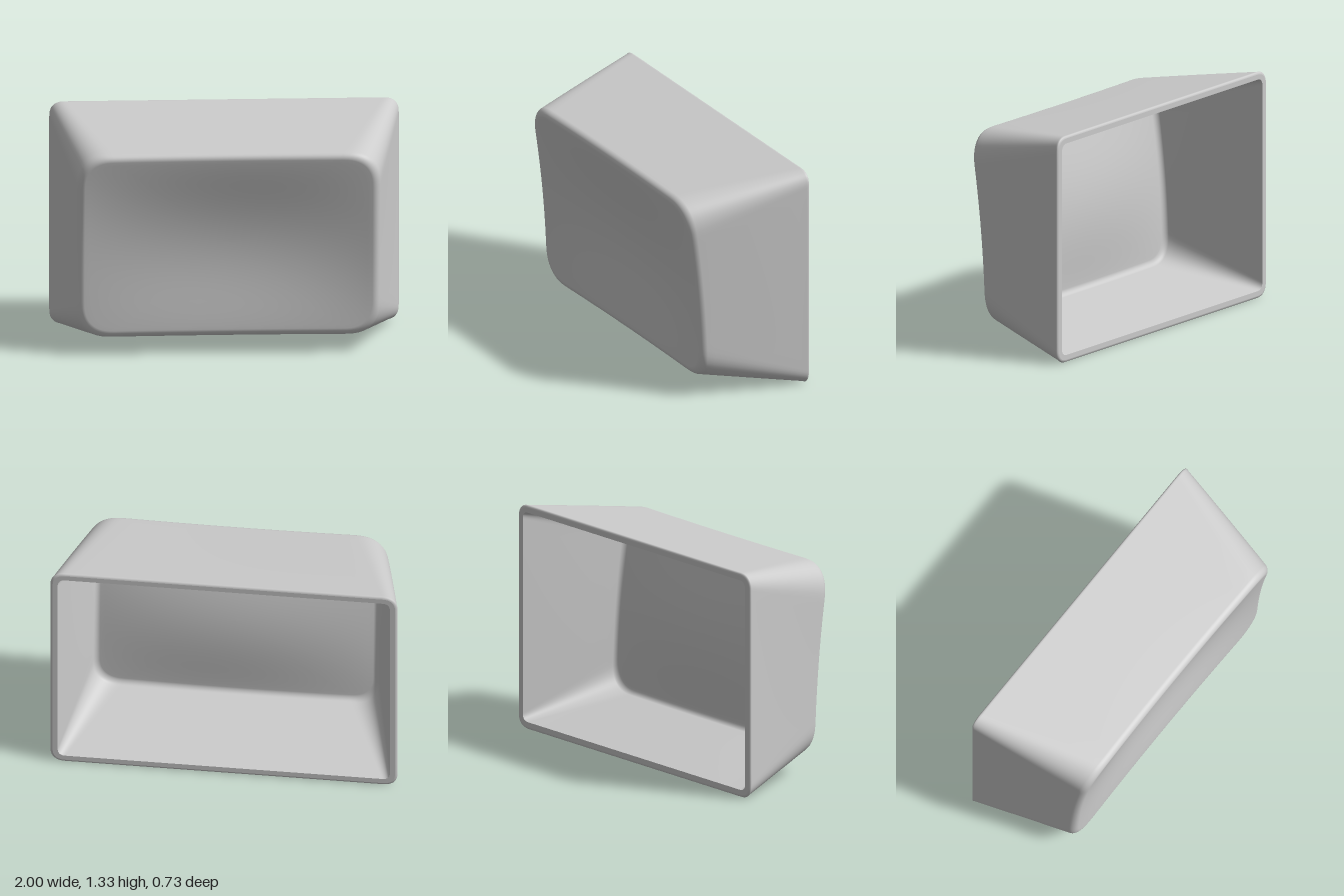
import * as THREE from 'three';

const BACK = -0.367;
const DEPTH = 0.65;
const lerp = THREE.MathUtils.lerp;

// Front surface: leans forward towards the top, with a soft scoop in the middle
function faceZ(x, y) {
  const across = Math.max(0, 1 - (x / 0.85) ** 2);
  const along = Math.max(0, 1 - ((y - 0.67) / 0.56) ** 2);
  return 0.268 + 0.073 * y * y - across * (0.014 + 0.045 * along * along);
}

// Rectangle with soft superellipse corners, counter-clockwise seen from the front
function roundedRect(hw, y0, y1, r) {
  const ARC = 14, EDGE = 16, pts = [];
  const soft = (v) => Math.sign(v) * Math.abs(v) ** 0.8;
  const corners = [[hw - r, y1 - r], [-hw + r, y1 - r], [-hw + r, y0 + r], [hw - r, y0 + r]];
  const cornerPoint = (q, a) => {
    const [cx, cy] = corners[q % 4];
    return [cx + r * soft(Math.cos(a)), cy + r * soft(Math.sin(a))];
  };
  for (let q = 0; q < 4; q++) {
    for (let i = 0; i <= ARC; i++) pts.push(cornerPoint(q, (q + i / ARC) * Math.PI / 2));
    const [xa, ya] = pts[pts.length - 1];
    const [xb, yb] = cornerPoint(q + 1, (q + 1) * Math.PI / 2);
    for (let i = 1; i < EDGE; i++) pts.push([lerp(xa, xb, i / EDGE), lerp(ya, yb, i / EDGE)]);
  }
  return pts;
}

// Cross-section at depth t (0 = open back, 1 = front), shrunk by inset and moved forward by lift
function section(t, wall, inset = 0, lift = 0) {
  const d = wall + inset;
  const pts = roundedRect(lerp(1, 0.86, t) - d, lerp(0, 0.113, t) + d,
    lerp(1.335, 1.23, t) - d, lerp(0.09, 0.21, t) - d);
  return pts.map(([x, y]) => [x, y, BACK + t * (faceZ(x, y) - wall - BACK) + lift]);
}

// Back edge, walls, filleted front edge and scooped face, from back to front
function shellRings(wall, fillet, backFillet) {
  const rings = [];
  for (let i = 0; i < 4 && backFillet; i++) {
    const a = i / 4 * Math.PI / 2;
    rings.push(section(0, wall, backFillet * (1 - Math.sin(a)), backFillet * (1 - Math.cos(a))));
  }
  const start = 1 - fillet / DEPTH;
  for (let i = 0; i <= 14; i++) rings.push(section(lerp(backFillet / DEPTH, start, i / 14), wall));
  for (let i = 1; i <= 8; i++) {
    const a = i / 8 * Math.PI / 2;
    rings.push(section(lerp(start, 1, Math.sin(a)), wall, fillet * (1 - Math.cos(a))));
  }
  const edge = rings[rings.length - 1];
  const cy = 0.672;
  for (let i = 1; i <= 28; i++) {
    const k = 1 - i / 28;
    rings.push(edge.map(([x, y]) => {
      const px = x * k, py = cy + (y - cy) * k;
      return [px, py, faceZ(px, py) - wall];
    }));
  }
  return rings;
}

// Skin a run of closed loops
function loft(name, rings, material) {
  const n = rings[0].length, index = [];
  for (let i = 0; i < rings.length - 1; i++) {
    for (let j = 0; j < n; j++) {
      const a = i * n + j, b = i * n + (j + 1) % n;
      index.push(a, b, b + n, a, b + n, a + n);
    }
  }
  const geo = new THREE.BufferGeometry();
  geo.setAttribute('position', new THREE.Float32BufferAttribute(rings.flat(2), 3));
  geo.setIndex(index);
  geo.computeVertexNormals();
  const mesh = new THREE.Mesh(geo, material);
  mesh.name = name;
  return mesh;
}

export function createModel() {
  const group = new THREE.Group();
  group.name = 'keycap';
  const material = new THREE.MeshStandardMaterial({ color: 0xcccccc });
  const outer = shellRings(0, 0.038, 0.015);
  const inner = shellRings(0.044, 0.03, 0);

  group.add(loft('outerShell', outer, material));
  // The lining runs front to back so that it faces inwards
  group.add(loft('innerShell', inner.slice().reverse(), material));
  group.add(loft('backRim', [inner[0], outer[0]], material));
  return group;
}
